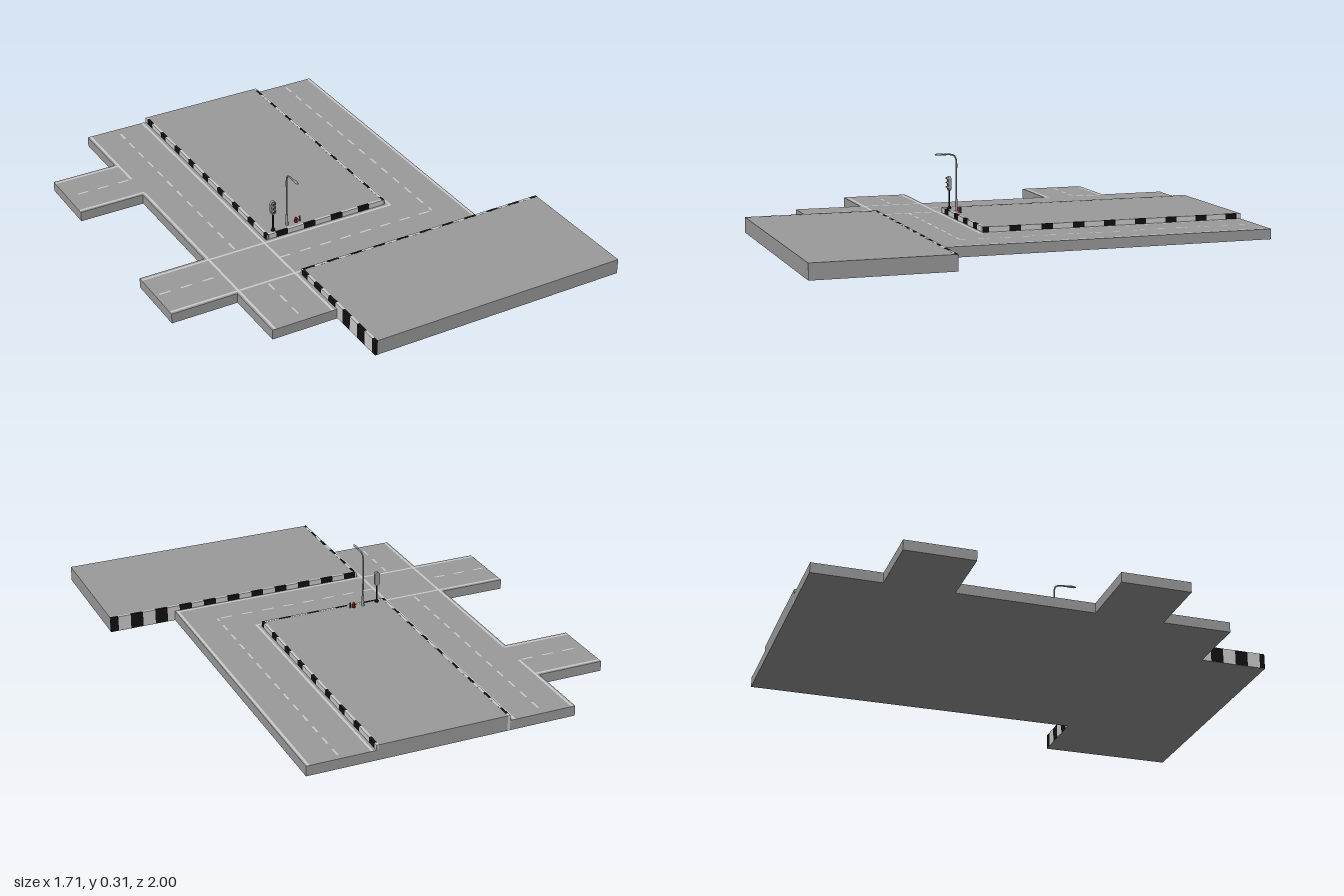
import * as THREE from 'three';

const mat = (color, extra = {}) => new THREE.MeshStandardMaterial({ color, ...extra });
const asphalt = mat(0x9b9b9b), white = mat(0xcccccc, { side: THREE.DoubleSide }), black = mat(0x111111);
const steel = mat(0x999999), dark = mat(0x444444), red = mat(0x8a1515);
const ROAD = 0.043, KERB = 0.065;

export function createModel() {
  const model = new THREE.Group();

  function add(name, geo, material, x = 0, y = 0, z = 0, parent = model) {
    const m = new THREE.Mesh(geo, material);
    m.name = name;
    m.position.set(x, y, z);
    parent.add(m);
    return m;
  }
  // box given by its limits
  function slab(name, x0, x1, y0, y1, z0, z1, material) {
    return add(name, new THREE.BoxGeometry(x1 - x0, y1 - y0, z1 - z0), material,
      (x0 + x1) / 2, (y0 + y1) / 2, (z0 + z1) / 2);
  }

  // road network as one outline (x, z)
  const outline = [[-.57, -1], [-.28, -1], [-.28, .14], [.28, .14], [.28, -1], [.57, -1],
    [.57, .43], [-.28, .43], [-.28, .717], [-.57, .717], [-.57, .43], [-.857, .43],
    [-.857, .143], [-.57, .143], [-.57, -.43], [-.857, -.43], [-.857, -.715], [-.57, -.715]];
  const shape = new THREE.Shape(outline.map(([x, z]) => new THREE.Vector2(x, -z)));
  const road = new THREE.ExtrudeGeometry(shape, { depth: ROAD, bevelEnabled: false });
  add('road', road.rotateX(-Math.PI / 2), asphalt);

  // raised city blocks
  slab('centreBlock', -.283, .283, 0, KERB, -1, .143, asphalt);
  slab('frontBlock', -.283, .857, 0, KERB, .43, 1, asphalt);

  // flat painted lines along x or z
  function line(name, axis, at, from, to, w = .01) {
    const len = to - from, mid = (from + to) / 2;
    const geo = axis === 'x' ? new THREE.PlaneGeometry(len, w) : new THREE.PlaneGeometry(w, len);
    geo.rotateX(-Math.PI / 2);
    add(name, geo, white, axis === 'x' ? mid : at, ROAD + .0008, axis === 'x' ? at : mid);
  }
  [['z', -.557, -1, -.57], ['z', -.557, -.44, .715], ['z', -.302, -1, .715], ['z', .3, -1, .165],
    ['z', .56, -1, .43], ['x', .16, -.855, .305], ['x', .415, -.855, .565],
    ['x', -.7, -.855, -.557], ['x', -.445, -.855, -.557]]
    .forEach(l => line('edgeLine', ...l));

  // dashed centre lines
  function dashes(axis, at, from, to, pitch = .095) {
    for (let p = from; p < to - .01; p += pitch) {
      line('centreDash', axis, at, p, Math.min(p + .05, to), .008);
    }
  }
  dashes('z', -.43, -.955, .16);
  dashes('z', -.43, .43, .69);
  dashes('z', .43, -.975, .285);
  dashes('x', .285, -.84, -.57);
  dashes('x', .285, -.3, .43);
  dashes('x', -.57, -.81, -.55);

  // kerbs of alternating black and white segments, flush with each other
  function kerb(axis, at, from, to, first, pitch, width) {
    const h = .0055;
    const segment = (a, b, material, name) => {
      a = Math.max(a, from);
      b = Math.min(b, to);
      if (b - a < .003) return;
      if (axis === 'x') slab(name, a, b, .001, KERB + .0004, at - h, at + h, material);
      else slab(name, at - h, at + h, .001, KERB + .0004, a, b, material);
    };
    for (let c = first - pitch; c < to + pitch; c += pitch) {
      segment(c - width / 2, c + width / 2, black, 'kerbBlack');
      segment(c + width / 2, c + pitch - width / 2, white, 'kerbWhite');
    }
  }
  kerb('z', -.278, -1, .143, -.956, .1373, .05);
  kerb('z', .278, -1, .143, -.956, .1373, .05);
  kerb('x', .138, -.2725, .2725, -.21, .13, .055);
  kerb('x', .435, -.2835, .857, -.25, .11, .055);
  kerb('z', -.278, .4405, 1, .455, .11, .055);

  // upright tapered post, standing on y
  const post = (name, r0, r1, h, y, parent, material = steel, sides = 12) =>
    add(name, new THREE.CylinderGeometry(r1, r0, h, sides), material, 0, y + h / 2, 0, parent);
  function group(name, x, z) {
    const g = new THREE.Group();
    g.name = name;
    g.position.set(x, KERB, z);
    model.add(g);
    return g;
  }

  // street lamp with a curved arm over the road
  const lamp = group('streetLamp', -.17, .112);
  post('lampBase', .006, .005, .05, 0, lamp);
  const arm = new THREE.CatmullRomCurve3([[0, .05, 0], [0, .15, 0], [0, .22, .001], [0, .235, .008],
    [0, .242, .025], [0, .243, .06]].map(p => new THREE.Vector3(...p)));
  add('lampPole', new THREE.TubeGeometry(arm, 32, .0035, 8), steel, 0, 0, 0, lamp);
  add('lampHead', new THREE.SphereGeometry(1, 16, 10), steel, 0, .244, .076, lamp)
    .scale.set(.006, .005, .021);

  // traffic light with three hooded lenses
  const signal = group('trafficLight', -.24, .122);
  post('signalBase', .009, .006, .01, 0, signal, black);
  post('signalPole', .0042, .0035, .085, 0, signal, black);
  add('signalHousing', new THREE.BoxGeometry(.024, .038, .012), steel, 0, .109, 0, signal);
  const cap = new THREE.CylinderGeometry(.012, .012, .012, 20).rotateX(Math.PI / 2);
  [.09, .128].forEach(y => add('housingEnd', cap, steel, 0, y, 0, signal));
  const lens = new THREE.CylinderGeometry(.0065, .0065, .003, 16).rotateX(Math.PI / 2);
  const hood = new THREE.CylinderGeometry(.008, .008, .008, 16, 1, true, Math.PI / 2, Math.PI)
    .rotateX(Math.PI / 2);
  const hoodMat = mat(0x999999, { side: THREE.DoubleSide });
  for (const y of [.09, .109, .128]) {
    add('lens', lens, dark, 0, y, .007, signal);
    add('lensHood', hood, hoodMat, 0, y, .01, signal);
  }

  // fire hydrant
  const hydrant = group('hydrant', -.127, .112);
  const profile = [[0, 0], [.0075, 0], [.0075, .003], [.005, .003], [.005, .016], [.0065, .016],
    [.0065, .018], [.005, .021], [.002, .024], [0, .025]].map(p => new THREE.Vector2(...p));
  add('hydrantBody', new THREE.LatheGeometry(profile, 14), red, 0, 0, 0, hydrant);
  add('hydrantOutlets', new THREE.CylinderGeometry(.0025, .0025, .017, 10).rotateZ(Math.PI / 2),
    red, 0, .012, 0, hydrant);

  // bollard
  const bollard = group('bollard', -.11, .112);
  post('bollardPost', .0035, .003, .022, 0, bollard, dark);
  add('bollardCap', new THREE.SphereGeometry(.004, 10, 8), dark, 0, .022, 0, bollard);

  return model;
}
